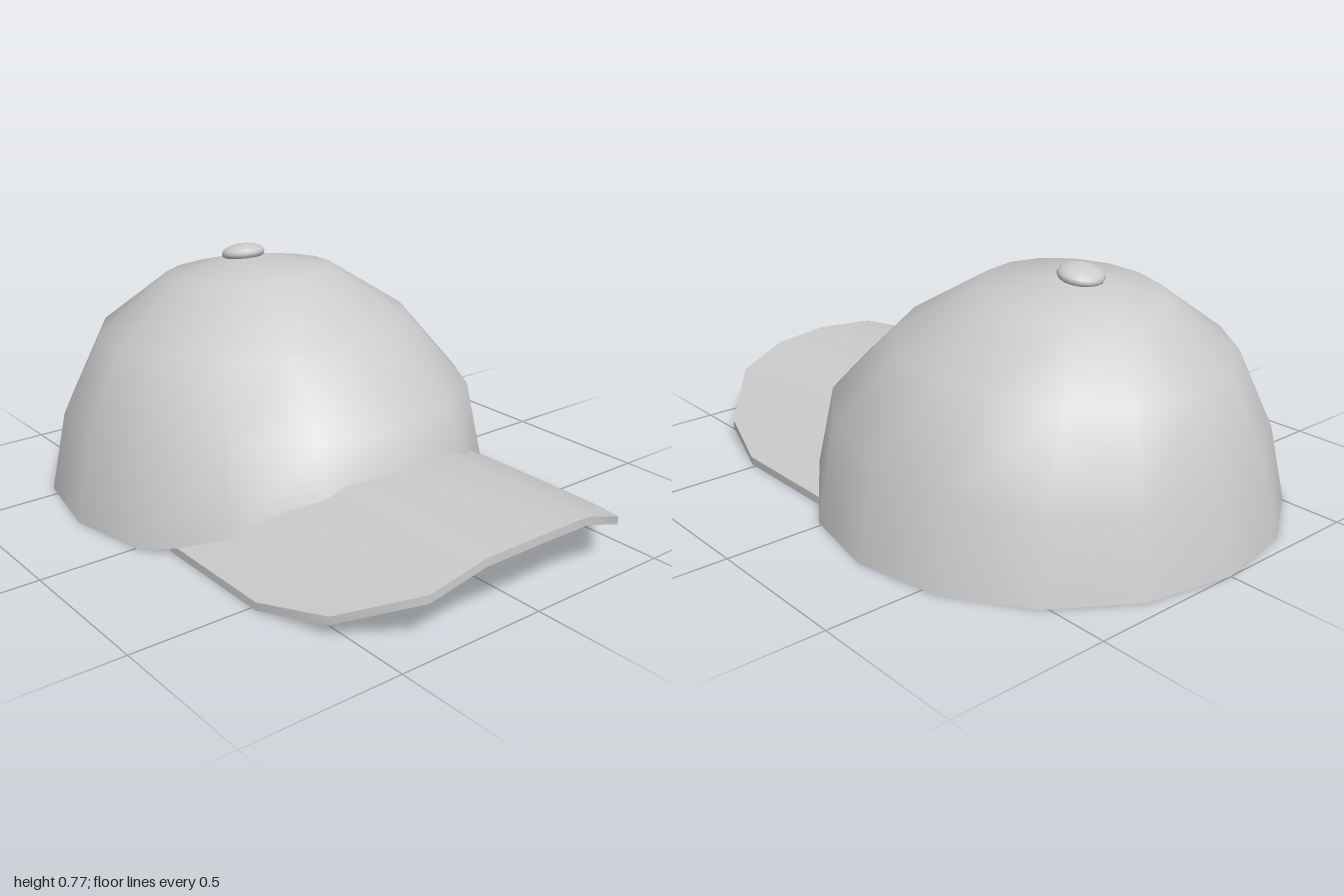
import * as THREE from 'three';
import { mergeVertices, toCreasedNormals } from 'three/addons/utils/BufferGeometryUtils.js';

const CENTER_Z = -0.265; // centre of the crown's rim

// Joins equal loops of [x, y, z] points into a surface.
function skin(loops, capped) {
  const n = loops[0].length;
  const index = [];
  for (let i = 0; i < loops.length - 1; i++) {
    for (let j = 0; j < n; j++) {
      const a = i * n + j, b = i * n + (j + 1) % n;
      index.push(a, b, b + n, a, b + n, a + n);
    }
  }
  if (capped) {
    const e = (loops.length - 1) * n;
    for (let j = 1; j < n - 1; j++) {
      index.push(0, j + 1, j, e, e + j, e + j + 1);
    }
  }
  const geo = new THREE.BufferGeometry();
  geo.setAttribute('position', new THREE.Float32BufferAttribute(loops.flat(2), 3));
  geo.setIndex(index);
  return geo;
}

// Half dome leaning back, its rim lifted over the brim.
function crownGeometry() {
  const sides = 16;
  const rimLift = [0.205, 0.16, 0.06];
  // radius, height, z shift, forward rise
  const rings = [
    [0.735, 0, 0, 0],
    [0.68, 0.285, -0.005, 0.065],
    [0.52, 0.522, -0.065, 0.032],
    [0.28, 0.685, -0.095, 0.025],
    [0, 0.735, -0.125, 0],
  ];
  const loops = rings.map(([r, y, shift, rise], i) =>
    Array.from({ length: sides }, (_, j) => {
      const t = (j / sides) * Math.PI * 2;
      const lift = i === 0 ? rimLift[Math.min(j, sides - j)] ?? 0 : rise * Math.cos(t);
      return [r * Math.sin(t), y + lift, CENTER_Z + shift + r * Math.cos(t)];
    }));
  const geo = mergeVertices(skin(loops, false), 1e-4);
  geo.computeVertexNormals();
  return geo;
}

// Arched plate whose rear edge follows the inside of the crown.
function brimGeometry() {
  const thickness = 0.026;
  // x, top height, front z
  const half = [
    [0, 0.233, 0.998],
    [0.2, 0.22, 0.983],
    [0.37, 0.16, 0.955],
    [0.54, 0.065, 0.755],
    [0.61, 0.026, 0.52],
  ];
  const mirrored = half.slice(1).reverse().map(([x, y, z]) => [-x, y, z]);
  const loops = [...mirrored, ...half].map(([x, y, front]) => {
    const rear = CENTER_Z + Math.sqrt(0.7 * 0.7 - x * x);
    return [
      [x, y, rear],
      [x, y - thickness, rear],
      [x, y - thickness, front],
      [x, y, front],
    ];
  });
  // Loops run top, down, forward, up: flip so faces look outward.
  loops.forEach((loop) => loop.reverse());
  return toCreasedNormals(skin(loops, true), 0.9);
}

export function createModel() {
  const cap = new THREE.Group();
  cap.name = 'cap';
  const material = new THREE.MeshStandardMaterial({ color: 0xcccccc, side: THREE.DoubleSide });

  const add = (name, geometry) => {
    const mesh = new THREE.Mesh(geometry, material);
    mesh.name = name;
    cap.add(mesh);
    return mesh;
  };

  add('crown', crownGeometry());
  add('brim', brimGeometry());

  // Flattened button on the apex, leaning with the crown
  const button = add('topButton', new THREE.SphereGeometry(0.073, 16, 10));
  button.scale.y = 0.42;
  button.position.set(0, 0.735, -0.39);
  button.rotation.x = -0.17;

  return cap;
}
